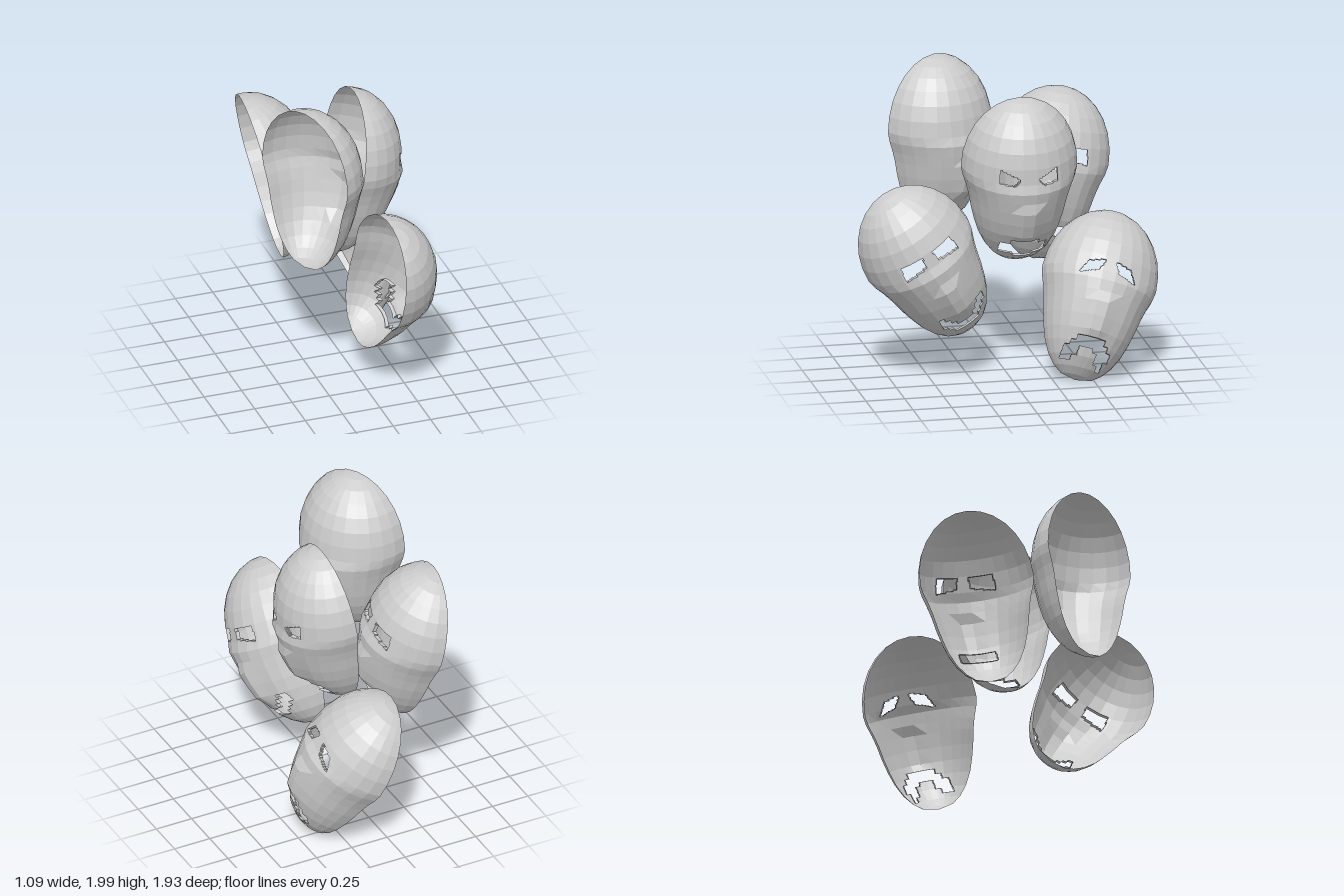
import * as THREE from 'three';

const HALF = 0.555;   // half the height of a mask
const COLS = 13;      // facets from ear to ear
const SUB = 10;       // finer cells where openings are cut

// Profile rows from chin to temple: [height, half width, depth]
const ROWS = [
  [0, 0, 0], [0.02, 0.1, 0.08], [0.06, 0.155, 0.145], [0.12, 0.205, 0.21],
  [0.2, 0.247, 0.265], [0.28, 0.274, 0.31], [0.37, 0.298, 0.34], [0.46, 0.316, 0.362],
  [0.53, 0.335, 0.375], [0.6, 0.36, 0.385], [0.66, 0.372, 0.365],
];
// Domed forehead and crown
for (let k = 1; k <= 7; k++) {
  const a = (k / 7) * Math.PI / 2;
  ROWS.push([0.66 + 0.45 * Math.sin(a), 0.372 * Math.cos(a), 0.36 * Math.cos(a)]);
}
const NR = ROWS.length - 1;

// Corner of a facet, with the nose raised on the middle facets
function corner(c, r) {
  const [t, w, d] = ROWS[r];
  const a = (c / COLS - 0.5) * Math.PI;
  const nose = (c === 6 || c === 7) && t > 0.25 && t < 0.5 ? 0.025 : 0;
  return new THREE.Vector3(w * Math.sin(a), t - HALF, d * Math.cos(a) + nose);
}

// Point on the faceted surface by fine cell index
function surface(i, j) {
  const c = Math.min(Math.floor(i / SUB), COLS - 1), r = Math.min(Math.floor(j / SUB), NR - 1);
  const fx = i / SUB - c, fy = j / SUB - r;
  const low = corner(c, r).lerp(corner(c + 1, r), fx);
  return low.lerp(corner(c, r + 1).lerp(corner(c + 1, r + 1), fx), fy);
}

function inside(poly, x, y) {
  let hit = false;
  for (let a = 0, b = poly.length - 1; a < poly.length; b = a++) {
    const [xa, ya] = poly[a], [xb, yb] = poly[b];
    if ((ya > y) !== (yb > y) && x < (xb - xa) * (y - ya) / (yb - ya) + xa) hit = !hit;
  }
  return hit;
}

// Openings: eyes are mirrored, mouths have stepped edges
const snap = (v) => (Math.floor(v / 0.03) + 0.5) * 0.03;
function isCut(face, i, j) {
  if (!face) return false;
  const p = surface(i + 0.5, j + 0.5), t = p.y + HALF;
  return inside(face.eye, Math.abs(p.x), t) || inside(face.mouth, snap(p.x), snap(t));
}

function shellGeometry(face) {
  const pos = [];
  const quad = (a, b, c, d) => [a, b, c, a, c, d].forEach((p) => pos.push(p.x, p.y, p.z));
  const inward = (p) => p.clone().setZ(p.z - 0.025);
  const wall = (a, b) => quad(a, b, inward(b), inward(a));
  for (let r = 0; r < NR; r++) {
    for (let c = 0; c < COLS; c++) {
      const cells = [];
      for (let k = 0; k < SUB * SUB; k++) {
        const i = c * SUB + (k % SUB), j = r * SUB + Math.floor(k / SUB);
        cells.push([i, j, isCut(face, i, j)]);
      }
      if (!cells.some((cell) => cell[2])) {
        quad(corner(c, r), corner(c + 1, r), corner(c + 1, r + 1), corner(c, r + 1));
        continue;
      }
      for (const [i, j, cut] of cells) {
        const a = surface(i, j), b = surface(i + 1, j), d = surface(i + 1, j + 1), e = surface(i, j + 1);
        if (!cut) { quad(a, b, d, e); continue; }
        // Thickness shown around the opening
        if (!isCut(face, i, j - 1)) wall(a, b);
        if (!isCut(face, i + 1, j)) wall(b, d);
        if (!isCut(face, i, j + 1)) wall(d, e);
        if (!isCut(face, i - 1, j)) wall(e, a);
      }
    }
  }
  const geo = new THREE.BufferGeometry();
  geo.setAttribute('position', new THREE.Float32BufferAttribute(pos, 3));
  geo.computeVertexNormals();
  return geo;
}

const slantedEye = [[0.038, 0.75], [0.185, 0.747], [0.195, 0.65], [0.045, 0.68]];
const FACES = {
  angry: {
    eye: [[0.06, 0.695], [0.185, 0.755], [0.185, 0.66], [0.095, 0.65], [0.065, 0.68]],
    mouth: [[-0.155, 0.215], [-0.085, 0.2], [-0.085, 0.24], [0.085, 0.24], [0.085, 0.215],
      [0.155, 0.215], [0.14, 0.13], [0.05, 0.1], [-0.05, 0.1], [-0.14, 0.13]],
  },
  happy: {
    eye: slantedEye,
    mouth: [[-0.17, 0.275], [-0.12, 0.27], [-0.06, 0.18], [0.06, 0.18], [0.12, 0.27],
      [0.175, 0.28], [0.165, 0.2], [0.06, 0.12], [-0.06, 0.12], [-0.15, 0.2]],
  },
  sad: {
    eye: [[0.03, 0.735], [0.14, 0.705], [0.185, 0.62], [0.065, 0.66]],
    mouth: [[-0.16, 0.17], [-0.15, 0.08], [-0.1, 0.09], [-0.05, 0.165], [0.04, 0.165],
      [0.09, 0.06], [0.13, 0.06], [0.14, 0.16], [0.06, 0.25], [-0.07, 0.25]],
  },
  calm: {
    eye: slantedEye,
    mouth: [[-0.12, 0.18], [0.12, 0.18], [0.12, 0.24], [-0.12, 0.24]],
  },
};

// Placement: centre of the rim, rim slopes dx/dy and dx/dz, and roll in degrees
const MASKS = [
  { name: 'angryMask', face: 'angry', at: [0.038, 1.28, -0.08], dy: 0.15, dz: 0, roll: 0 },
  { name: 'happyMask', face: 'happy', at: [0.045, 0.765, 0.52], dy: 0.05, dz: 0.1, roll: -31 },
  { name: 'blankMask', face: null, at: [-0.37, 1.445, 0.375], dy: 0, dz: 0.507, roll: 0 },
  { name: 'calmMask', face: 'calm', at: [-0.407, 1.165, -0.37], dy: -0.2, dz: -0.08, roll: 12 },
  { name: 'sadMask', face: 'sad', at: [0.14, 0.495, -0.555], dy: -0.46, dz: 0, roll: 20 },
];

export function createModel() {
  const group = new THREE.Group();
  group.name = 'maskCluster';
  const material = new THREE.MeshStandardMaterial({
    color: 0xcccccc, flatShading: true, side: THREE.DoubleSide,
  });
  for (const { name, face, at, dy, dz, roll } of MASKS) {
    const mesh = new THREE.Mesh(shellGeometry(FACES[face]), material);
    mesh.name = name;
    const a = THREE.MathUtils.degToRad(roll), c = Math.cos(a), s = Math.sin(a);
    const forward = new THREE.Vector3(1, -dy, -dz).normalize();
    const up = new THREE.Vector3(dy * c - dz * s, c, -s).normalize();
    const side = new THREE.Vector3().crossVectors(up, forward);
    mesh.quaternion.setFromRotationMatrix(new THREE.Matrix4().makeBasis(side, up, forward));
    mesh.position.set(...at);
    group.add(mesh);
  }
  return group;
}
